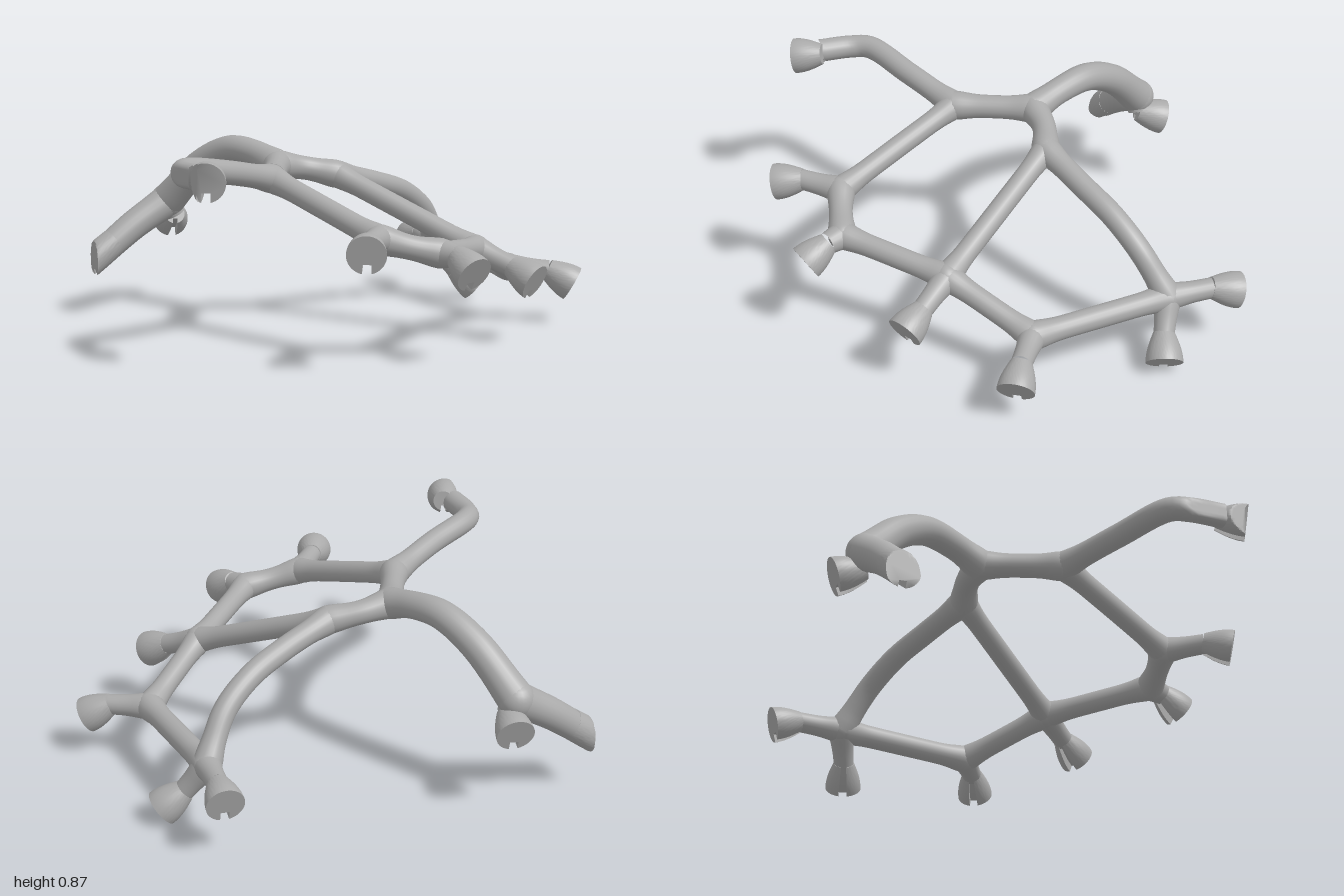
import * as THREE from 'three';
import { mergeVertices, toCreasedNormals } from 'three/addons/utils/BufferGeometryUtils.js';

const V = (p) => new THREE.Vector3(...p);

// Flat trims on the model's right side: end of the rear arm, and edge of the front arm
function trim(geo) {
  const p = geo.attributes.position;
  for (let i = 0; i < p.count; i++) {
    const z = p.getZ(i);
    const limit = z > 0.3 ? -0.98 + 0.08 * (z - 0.37) : -1;
    p.setX(i, Math.max(p.getX(i), limit));
  }
  return geo;
}

// Round rod along a curve, with radius r0 to r1, flaring where it meets a joint
function rodGeometry(points, r0, r1, flare0, flare1) {
  const curve = new THREE.CatmullRomCurve3(points.map(V));
  const length = curve.getLength(), segs = 36, sides = 20;
  const geo = new THREE.TubeGeometry(curve, segs, 1, sides);
  const p = geo.attributes.position, v = new THREE.Vector3();
  const bump = (d) => Math.exp(-((d / 0.075) ** 2));
  for (let i = 0; i <= segs; i++) {
    const t = i / segs, c = curve.getPointAt(t);
    const r = (r0 + (r1 - r0) * t)
      * (1 + flare0 * bump(t * length) + flare1 * bump((1 - t) * length));
    for (let j = 0; j <= sides; j++) {
      const k = i * (sides + 1) + j;
      v.fromBufferAttribute(p, k).sub(c).multiplyScalar(r).add(c);
      p.setXYZ(k, v.x, v.y, v.z);
    }
  }
  trim(geo);
  geo.deleteAttribute('uv');
  geo.deleteAttribute('normal');
  const merged = mergeVertices(geo, 1e-5);
  merged.computeVertexNormals();
  return merged;
}

// Bell-shaped cup with a slot at its underside; its flat face is at pos, looking along dir
function cupGeometry(pos, dir, back = 0.046, face = 0.08, length = 0.13) {
  const shape = new THREE.Shape();
  const w = 0.23, a = Math.asin(w);
  shape.moveTo(w, -0.5);
  shape.lineTo(w, -Math.cos(a));
  shape.absarc(0, 0, 1, -Math.PI / 2 + a, Math.PI * 1.5 - a, false);
  shape.lineTo(-w, -0.5);
  shape.closePath();
  const geo = new THREE.ExtrudeGeometry(shape, {
    depth: length, steps: 10, bevelEnabled: false, curveSegments: 36,
  });
  const p = geo.attributes.position;
  for (let i = 0; i < p.count; i++) {
    const t = p.getZ(i) / length;
    const r = back + (face - back) * Math.sin(t * Math.PI / 2);
    p.setXYZ(i, p.getX(i) * r, p.getY(i) * r, p.getZ(i) - length);
  }
  const m = new THREE.Matrix4().lookAt(V(dir), new THREE.Vector3(), new THREE.Vector3(0, 1, 0));
  geo.applyMatrix4(m.setPosition(...pos));
  return toCreasedNormals(trim(geo), 0.6);
}

export function createModel() {
  const group = new THREE.Group();
  const grey = new THREE.MeshStandardMaterial({ color: 0xaaaaaa });
  grey.name = 'plain grey';
  const add = (name, geo) => {
    const mesh = new THREE.Mesh(geo, grey);
    mesh.name = name;
    group.add(mesh);
    return mesh;
  };

  // Joints of the lattice
  const J = {
    topRight: [-0.3, 0.735, -0.23],
    topLeft: [-0.03, 0.685, -0.21],
    backLeft: [0.61, 0.28, -0.57],
    sideLeft: [0.70, 0.26, 0.05],
    frontLeft: [0.40, 0.405, 0.34],
    frontMiddle: [0.07, 0.465, 0.72],
    frontRight: [-0.18, 0.53, 0.675],
    sideRight: [-0.44, 0.72, 0.10],
    rearArm: [-0.635, 0.515, -0.83],
  };
  for (const [name, p] of Object.entries(J)) {
    const r = name === 'rearArm' ? 0.08 : 0.062;
    add(name + 'Joint', new THREE.SphereGeometry(r, 24, 16)).position.set(...p);
  }

  // Rods between joints: start, end, points between, radii
  const rods = [
    ['topRight', 'topLeft', [[-0.17, 0.715, -0.24]], 0.053, 0.05],
    ['topRight', 'sideRight', [], 0.052, 0.052],
    ['sideRight', 'frontRight', [[-0.31, 0.625, 0.39]], 0.048, 0.048],
    ['frontRight', 'frontMiddle', [[-0.06, 0.495, 0.70]], 0.05, 0.05],
    ['frontMiddle', 'frontLeft', [], 0.048, 0.048],
    ['frontLeft', 'topLeft', [], 0.047, 0.047],
    ['frontLeft', 'sideLeft', [], 0.048, 0.048],
    ['sideLeft', 'backLeft', [], 0.05, 0.05],
    ['topLeft', 'backLeft',
      [[0.2, 0.625, -0.31], [0.37, 0.565, -0.395], [0.5, 0.47, -0.47], [0.57, 0.36, -0.53]], 0.05, 0.05],
    ['topRight', 'rearArm',
      [[-0.36, 0.775, -0.37], [-0.43, 0.78, -0.51], [-0.52, 0.70, -0.66]], 0.055, 0.075],
  ];
  for (const [a, b, mid, r0, r1] of rods) {
    add(`${a}To${b[0].toUpperCase()}${b.slice(1)}Rod`,
      rodGeometry([J[a], ...mid, J[b]], r0, r1, 0.25, b === 'rearArm' ? 0.05 : 0.25));
  }

  // Cups on short necks: joint, face centre, facing direction
  const cups = [
    ['backLeft', [0.62, 0.265, -0.885], [0.02, -0.25, -0.95]],
    ['backLeft', [0.79, 0.075, -0.505], [0.74, -0.64, 0.2]],
    ['sideLeft', [0.95, 0.19, 0.19], [0.77, -0.5, 0.4]],
    ['frontLeft', [0.575, 0.285, 0.565], [0.5, -0.45, 0.74]],
    ['frontMiddle', [0.14, 0.4, 0.895], [0.25, -0.5, 0.83]],
    ['frontRight', [-0.34, 0.515, 0.935], [-0.4, -0.2, 0.9]],
    ['rearArm', [-0.59, 0.41, -0.945], [0.1, -0.33, -0.94]],
  ];
  for (const [joint, pos, dir] of cups) {
    const back = V(pos).addScaledVector(V(dir).normalize(), -0.12).toArray();
    add(joint + 'Cup', cupGeometry(pos, dir));
    add(joint + 'Neck', rodGeometry([J[joint], back], 0.047, 0.045, 0.25, 0));
  }

  // Right front arm, bent forward into a trimmed cup
  add('rightFrontArm', rodGeometry(
    [J.sideRight, [-0.68, 0.775, 0.255], [-0.9, 0.81, 0.39], [-0.935, 0.805, 0.47], [-0.925, 0.81, 0.62]],
    0.05, 0.052, 0.25, 0));
  add('rightFrontCup', cupGeometry([-0.925, 0.8, 0.73], [-0.4, -0.15, 0.9]));

  // Rear arm's slotted, trimmed end
  add('rearArmTip', rodGeometry([J.rearArm, [-0.8, 0.415, -0.81], [-0.93, 0.32, -0.79]], 0.073, 0.064, 0.05, 0));
  add('rearArmEnd', cupGeometry([-1.03, 0.25, -0.778], [-0.81, -0.58, 0.1], 0.065, 0.068, 0.16));

  return group;
}
